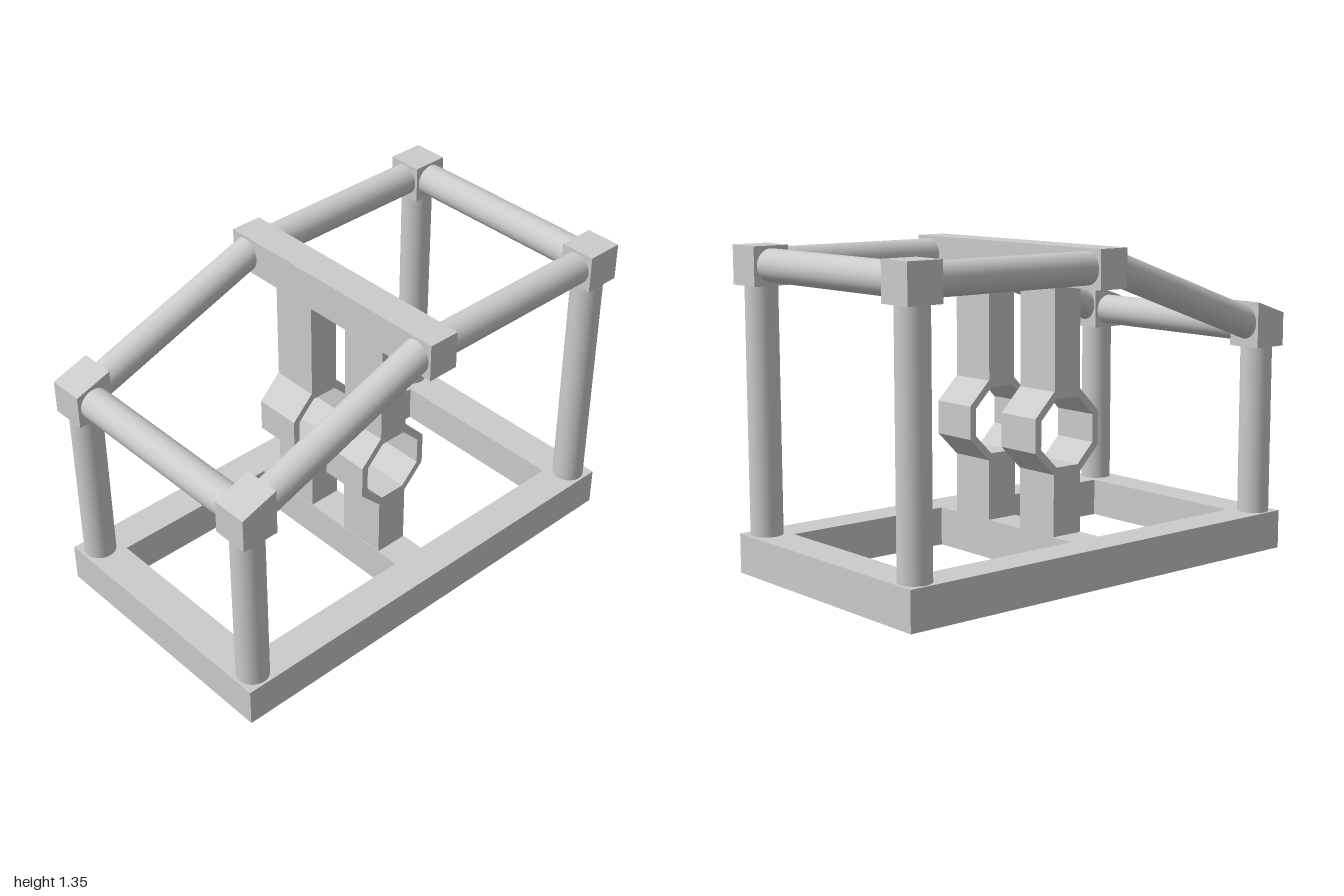
import * as THREE from 'three';

const material = new THREE.MeshStandardMaterial({ color: 0xcccccc });
const flatMaterial = new THREE.MeshStandardMaterial({ color: 0xcccccc, flatShading: true });
const R = 0.067, POST_X = 0.92, POST_Z = 0.497, BASE_TOP = 0.165;

export function createModel() {
  const model = new THREE.Group();

  const add = (name, geometry, mat = flatMaterial) => {
    const mesh = new THREE.Mesh(geometry, mat);
    mesh.name = name;
    model.add(mesh);
    return mesh;
  };

  // Box given by its two extreme corners
  const box = (name, x0, x1, y0, y1, z0, z1) =>
    add(name, new THREE.BoxGeometry(x1 - x0, y1 - y0, z1 - z0))
      .position.set((x0 + x1) / 2, (y0 + y1) / 2, (z0 + z1) / 2);

  // Round bar between two points
  const bar = (name, a, b) => {
    const from = new THREE.Vector3(...a), to = new THREE.Vector3(...b);
    const dir = to.clone().sub(from);
    const mesh = add(name, new THREE.CylinderGeometry(R, R, dir.length(), 40), material);
    mesh.position.copy(from).add(to).multiplyScalar(0.5);
    mesh.quaternion.setFromUnitVectors(new THREE.Vector3(0, 1, 0), dir.normalize());
  };

  // Profile in x/y extruded between two z values
  const extrude = (name, shape, z0, z1) =>
    add(name, new THREE.ExtrudeGeometry(shape, { depth: z1 - z0, bevelEnabled: false }))
      .position.z = z0;

  const rect = (Type, x0, x1, z0, z1) => new Type([
    new THREE.Vector2(x0, z0), new THREE.Vector2(x1, z0),
    new THREE.Vector2(x1, z1), new THREE.Vector2(x0, z1),
  ]);

  const octagon = (Type, apothem, cy) => {
    const radius = apothem / Math.cos(Math.PI / 8);
    return new Type(Array.from({ length: 8 }, (_, i) => {
      const a = (i + 0.5) * Math.PI / 4;
      return new THREE.Vector2(radius * Math.cos(a), cy + radius * Math.sin(a));
    }));
  };

  // Base frame with two openings and a central crosspiece
  const base = rect(THREE.Shape, -1, 1, -0.575, 0.575);
  base.holes.push(rect(THREE.Path, -0.84, -0.075, -0.42, 0.42));
  base.holes.push(rect(THREE.Path, 0.075, 0.84, -0.42, 0.42));
  const baseGeometry = new THREE.ExtrudeGeometry(base, { depth: BASE_TOP, bevelEnabled: false });
  add('baseFrame', baseGeometry.rotateX(-Math.PI / 2));

  // Top crossbeam and the round bars joining the corner blocks
  box('topBeam', -0.07, 0.07, 1.185, 1.345, -0.575, 0.575);
  bar('highCrossBar', [POST_X, 1.267, -0.42], [POST_X, 1.267, 0.42]);
  bar('lowCrossBar', [-POST_X, 0.967, -0.42], [-POST_X, 0.967, 0.42]);

  // Corner block whose top follows the sloping bar
  const slopedBlock = new THREE.Shape([
    new THREE.Vector2(-1, 0.885), new THREE.Vector2(-0.84, 0.885),
    new THREE.Vector2(-0.84, 1.08), new THREE.Vector2(-1, 1.027),
  ]);

  // Octagonal ring of the two central supports
  const ring = octagon(THREE.Shape, 0.17, 0.59);
  ring.holes.push(octagon(THREE.Path, 0.14, 0.59));

  for (const s of [1, -1]) {
    const side = s > 0 ? 'front' : 'back';
    const z = s * POST_Z;
    const blockZ = s > 0 ? [0.42, 0.575] : [-0.575, -0.42];
    const supportZ = s > 0 ? [0.1, 0.315] : [-0.31, -0.1];

    bar(side + 'HighPost', [POST_X, BASE_TOP - 0.02, z], [POST_X, 1.2, z]);
    bar(side + 'LowPost', [-POST_X, BASE_TOP - 0.02, z], [-POST_X, 0.9, z]);
    box(side + 'HighCornerBlock', 0.84, 1, 1.185, 1.345, ...blockZ);
    extrude(side + 'LowCornerBlock', slopedBlock, ...blockZ);
    bar(side + 'LevelBar', [0.05, 1.267, z], [0.86, 1.267, z]);
    bar(side + 'SlopingBar', [-0.88, 0.977, z], [-0.04, 1.273, z]);

    // Central support interrupted by the ring
    box(side + 'LowerSupport', -0.072, 0.072, BASE_TOP - 0.02, 0.435, ...supportZ);
    box(side + 'UpperSupport', -0.068, 0.068, 0.745, 1.2, ...supportZ);
    extrude(side + 'SupportRing', ring, ...supportZ);
  }
  return model;
}
